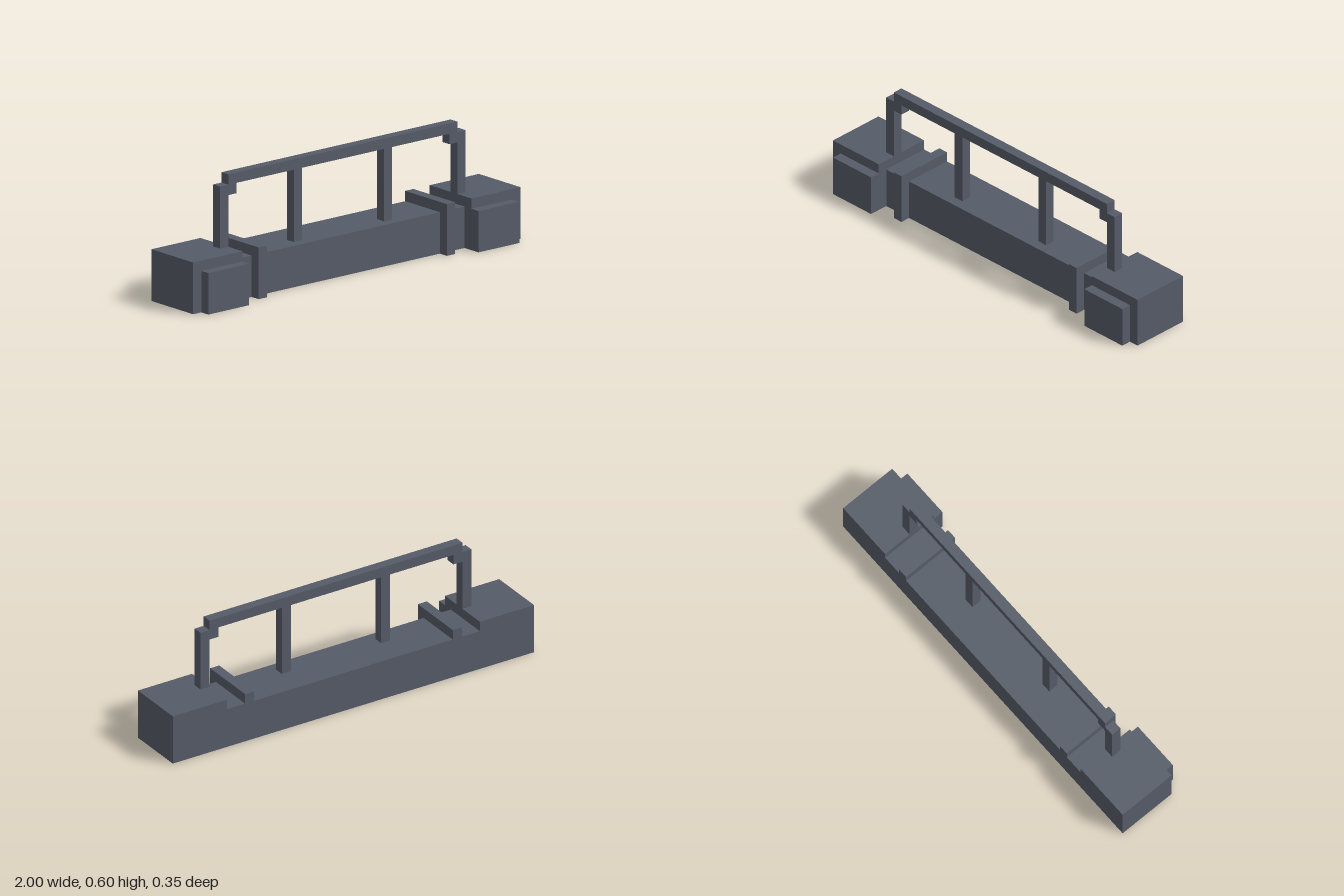
import * as THREE from 'three';

export function createModel() {
  const model = new THREE.Group();
  model.name = 'railedBarrier';
  const slate = new THREE.MeshStandardMaterial({ color: 0x565c68 });
  slate.name = 'slate grey';

  // Box given by its extents along each axis
  const block = (name, [x0, x1], [y0, y1], [z0, z1]) => {
    const mesh = new THREE.Mesh(new THREE.BoxGeometry(x1 - x0, y1 - y0, z1 - z0), slate);
    mesh.position.set((x0 + x1) / 2, (y0 + y1) / 2, (z0 + z1) / 2);
    mesh.name = name;
    model.add(mesh);
  };
  // The same block on both sides, with x measured outward from the middle
  const pair = (name, [x0, x1], y, z) => {
    block(name + 'Left', [x0, x1], y, z);
    block(name + 'Right', [-x1, -x0], y, z);
  };

  const barZ = [-0.025, 0.025];
  const fullZ = [-0.175, 0.125];

  // Wall and its end blocks
  block('wall', [-0.7, 0.7], [0, 0.2], [-0.175, 0.075]);
  pair('endBlock', [0.7, 1], [0, 0.25], fullZ);
  pair('frontPad', [0.7, 0.95], [0, 0.2], [0.125, 0.175]);
  pair('rib', [0.55, 0.6], [0, 0.25], fullZ);

  // Railing with stepped corners
  block('topRail', [-0.7, 0.7], [0.55, 0.6], barZ);
  pair('cornerStep', [0.65, 0.7], [0.5, 0.55], barZ);
  pair('endPost', [0.7, 0.75], [0.25, 0.55], barZ);
  pair('middlePost', [0.25, 0.3], [0.2, 0.55], barZ);

  return model;
}
